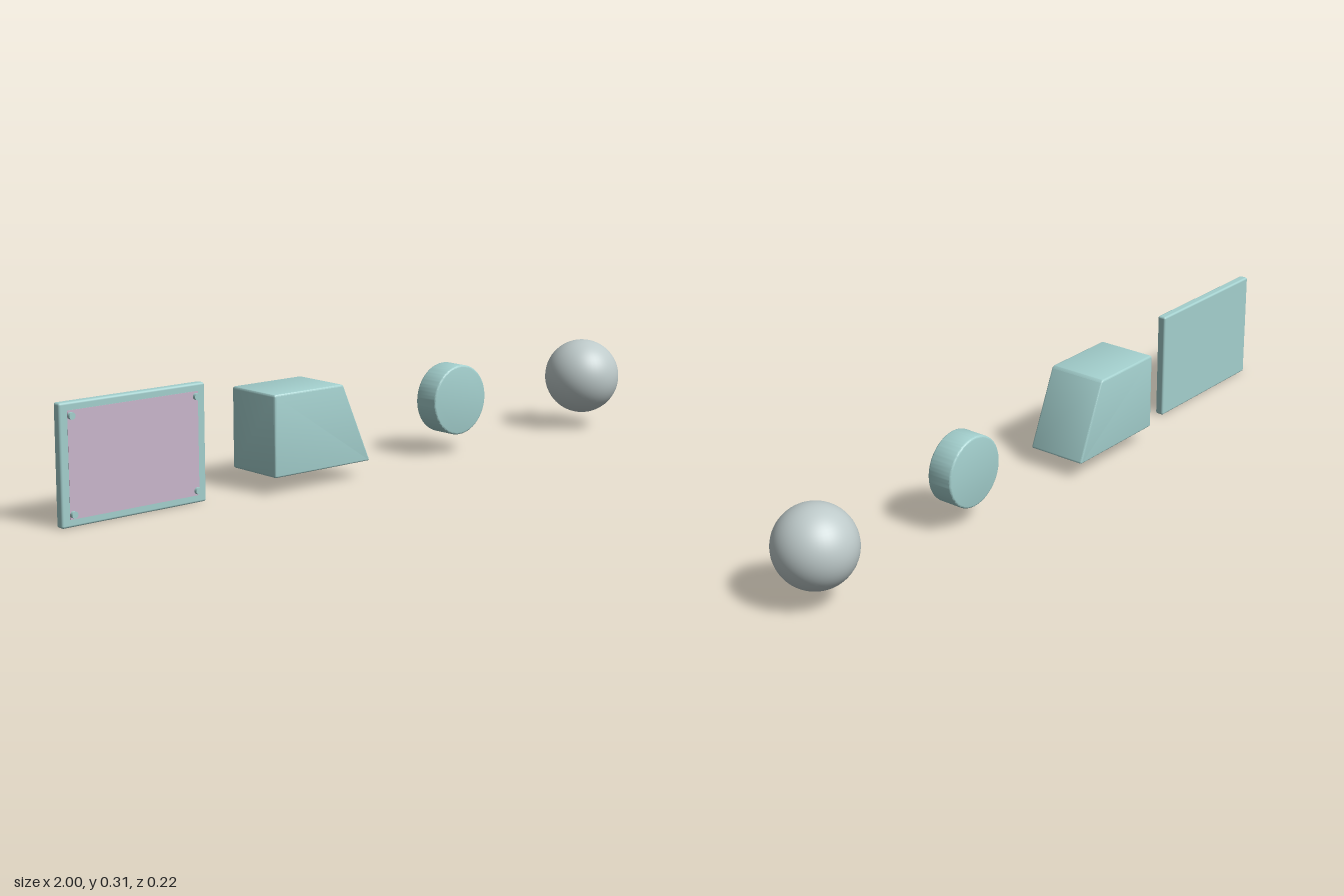
import * as THREE from 'three';
import { toCreasedNormals } from 'three/addons/utils/BufferGeometryUtils.js';
import { RoundedBoxGeometry } from 'three/addons/geometries/RoundedBoxGeometry.js';

const MID_Y = 0.156;

function material(name, color) {
  const m = new THREE.MeshStandardMaterial({ color });
  m.name = name;
  return m;
}

// Closed polygon with its corners softened by radius r
function roundedPolygon(corners, r) {
  const pts = corners.map(([x, y]) => new THREE.Vector2(x, y));
  const toward = (a, b) => a.clone().add(b.clone().sub(a).setLength(r));
  const shape = new THREE.Shape();
  pts.forEach((p, i) => {
    const before = toward(p, pts[(i + pts.length - 1) % pts.length]);
    const after = toward(p, pts[(i + 1) % pts.length]);
    if (i === 0) shape.moveTo(before.x, before.y);
    else shape.lineTo(before.x, before.y);
    shape.quadraticCurveTo(p.x, p.y, after.x, after.y);
  });
  shape.closePath();
  return shape;
}

// Solid centred on z = 0 with softened front and back edges
function softExtrude(shape, depth, bevel, curveSegments) {
  const g = new THREE.ExtrudeGeometry(shape, {
    depth: depth - 2 * bevel, curveSegments, bevelThickness: bevel,
    bevelSize: bevel, bevelOffset: -bevel, bevelSegments: 3,
  });
  g.translate(0, 0, bevel - depth / 2);
  return toCreasedNormals(g, 0.7);
}

export function createModel() {
  const group = new THREE.Group();
  const teal = material('pale teal', 0xa3cfcd);
  const mauve = material('mauve', 0xc9b6cb);
  const grey = material('soft grey', 0xbecaca);

  const add = (name, geometry, mat, x = 0, y = 0, z = 0, parent = group) => {
    const mesh = new THREE.Mesh(geometry, mat);
    mesh.name = name;
    mesh.position.set(x, y, z);
    parent.add(mesh);
    return mesh;
  };

  // Framed panel with four corner studs
  const panel = new THREE.Group();
  panel.name = 'panel';
  panel.position.set(-0.78, MID_Y, 0);
  group.add(panel);
  add('panelBoard', new RoundedBoxGeometry(0.44, 0.312, 0.026, 3, 0.006), teal, 0, 0, 0, panel);
  add('panelFace', new THREE.BoxGeometry(0.394, 0.272, 0.002), mauve, 0, 0, 0.0128, panel);
  const stud = new THREE.CylinderGeometry(0.009, 0.009, 0.009, 20).rotateX(Math.PI / 2);
  for (const sx of [-1, 1]) {
    for (const sy of [-1, 1]) add('cornerStud', stud, teal, sx * 0.189, sy * 0.123, 0.0195, panel);
  }

  // Block with one sloping side
  const profile = [[-0.392, 0.046], [-0.06, 0.046], [-0.156, 0.267], [-0.392, 0.267]];
  add('wedgeBlock', softExtrude(roundedPolygon(profile, 0.007), 0.177, 0.005, 4), teal);

  // Short upright disc
  const circle = new THREE.Shape().absarc(0, 0, 0.1, 0, Math.PI * 2);
  add('disc', softExtrude(circle, 0.077, 0.005, 64), teal, 0.332, MID_Y, 0);

  // Ball
  add('ball', new THREE.SphereGeometry(0.111, 48, 32), grey, 0.889, MID_Y, 0);

  return group;
}
